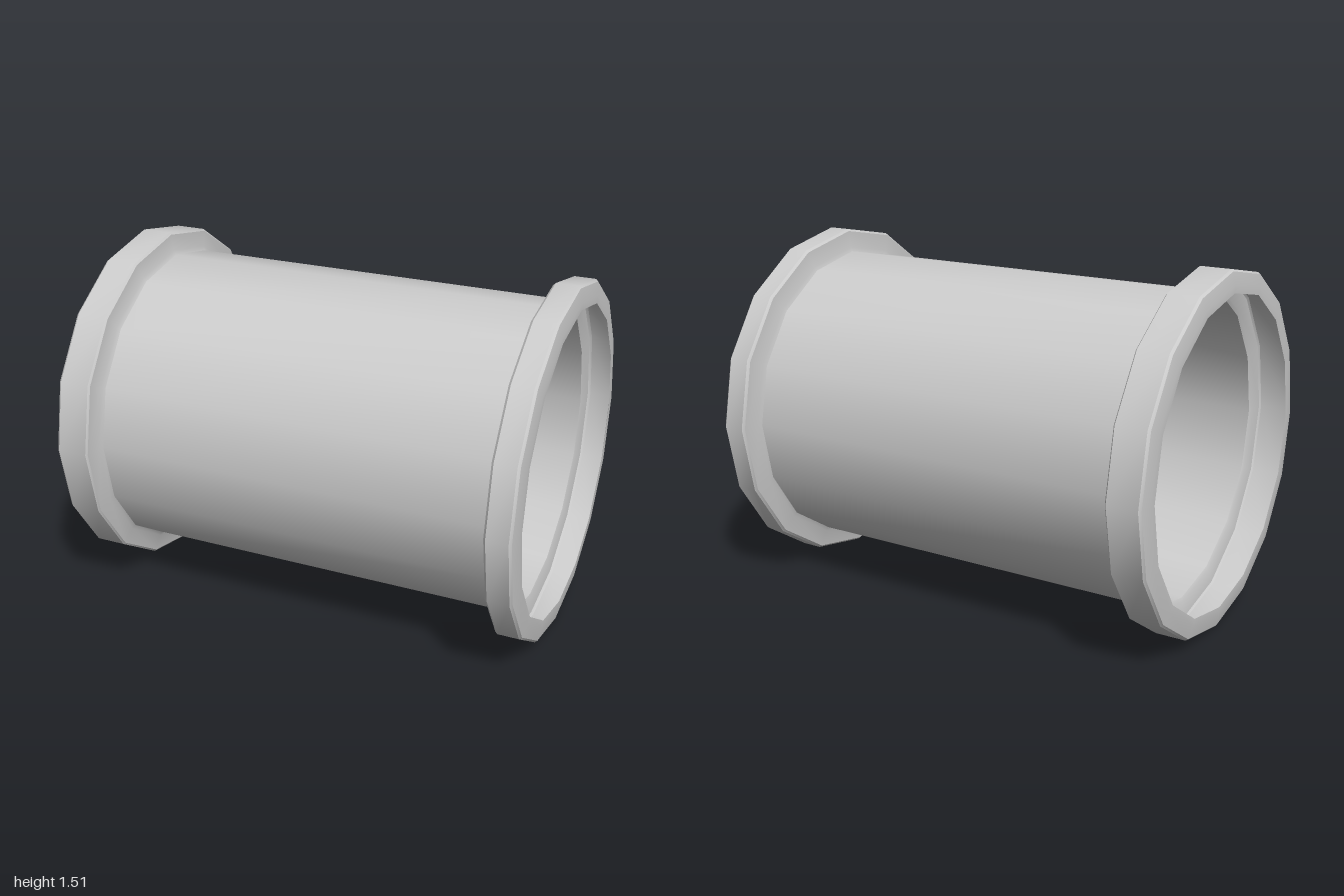
import * as THREE from 'three';
import { toCreasedNormals } from 'three/addons/utils/BufferGeometryUtils.js';

const SIDES = 16;
const AXIS_HEIGHT = 0.757;
const material = new THREE.MeshStandardMaterial({ color: 0xcccccc, side: THREE.DoubleSide });

// Thin shell turned around the x axis from [x, radius] pairs, ordered by rising x
function turned(name, profile) {
  const points = profile.map(([x, r]) => new THREE.Vector2(r, x));
  const geometry = new THREE.LatheGeometry(points, SIDES).rotateZ(-Math.PI / 2);
  const mesh = new THREE.Mesh(toCreasedNormals(geometry, 0.5), material);
  mesh.name = name;
  return mesh;
}

export function createModel() {
  const group = new THREE.Group();
  group.name = 'flangedPipe';

  // Straight pipe wall
  const pipe = turned('pipe', [[-0.83, 0.657], [0.87, 0.657]]);

  // Wide hollow flange at one end, with a chamfered lip
  const wideFlange = turned('wideFlange', [
    [-1, 0.66], [-1, 0.69], [-0.99, 0.745], [-0.98, 0.753],
    [-0.85, 0.753], [-0.843, 0.745], [-0.835, 0.675], [-0.825, 0.657],
  ]);

  // Narrow hollow flange at the other end
  const narrowFlange = turned('narrowFlange', [
    [0.865, 0.657], [0.872, 0.675], [0.88, 0.748], [0.89, 0.757],
    [0.98, 0.757], [0.99, 0.748], [1, 0.69], [1, 0.66],
  ]);

  group.add(pipe, wideFlange, narrowFlange);
  group.children.forEach((part) => { part.position.y = AXIS_HEIGHT; });
  return group;
}
